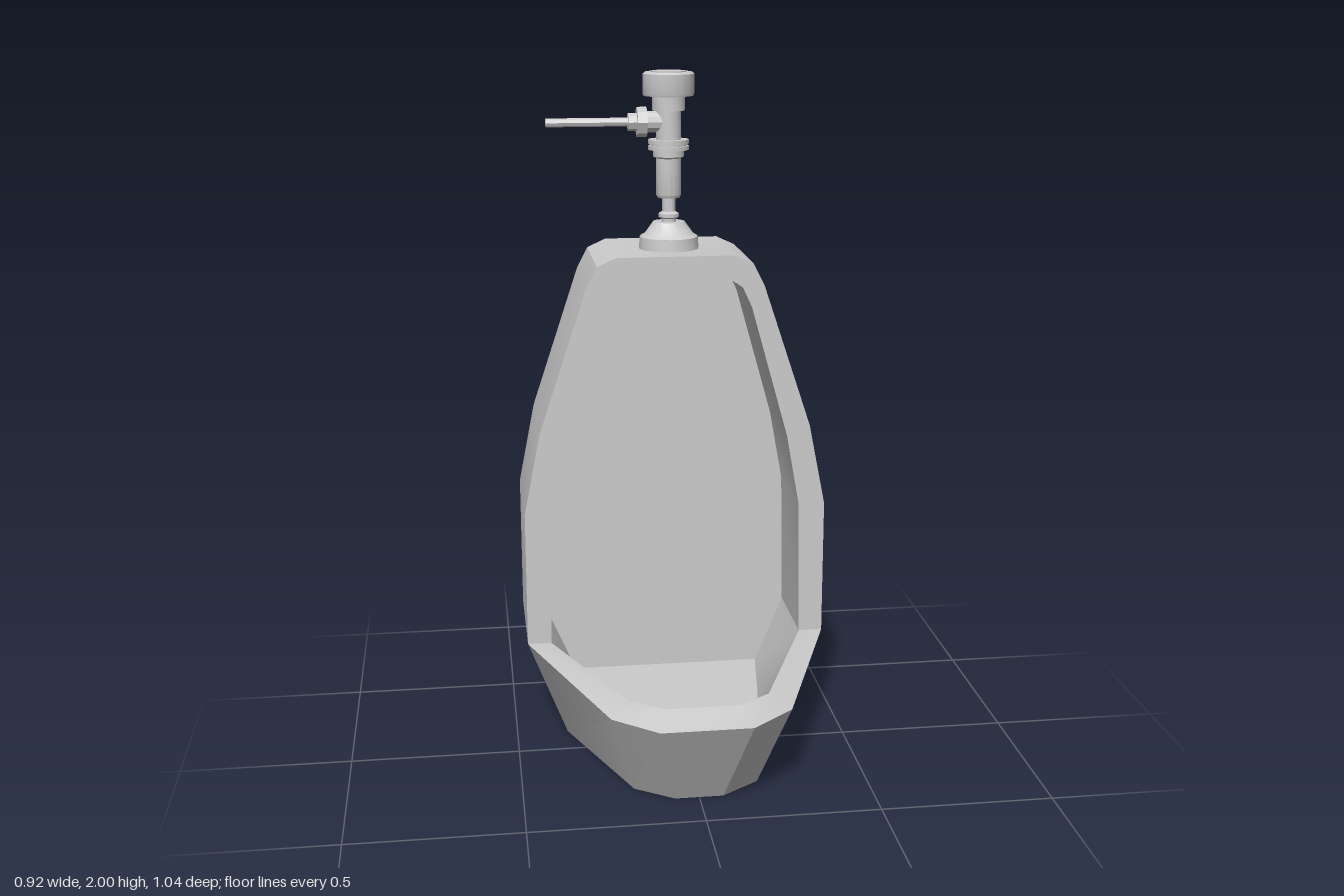
import * as THREE from 'three';
import { mergeGeometries, toCreasedNormals } from 'three/addons/utils/BufferGeometryUtils.js';

const grey = new THREE.MeshStandardMaterial({ color: 0xcccccc });

// Mirror the +x half of an outline to get the whole loop.
const mirror = half => [...half, ...half.map(([x, y, z]) => [-x, y, z]).reverse()];

function fromTriangles(tris) {
  const g = new THREE.BufferGeometry();
  g.setAttribute('position', new THREE.Float32BufferAttribute(tris.flat(2), 3));
  return g;
}

// Band of quads between two matching loops.
function strip(a, b, closed = false) {
  const tris = [];
  const n = a.length;
  for (let i = 0; i < (closed ? n : n - 1); i++) {
    const j = (i + 1) % n;
    tris.push([a[i], a[j], b[j]], [a[i], b[j], b[i]]);
  }
  return fromTriangles(tris);
}

// Flat cap over a convex loop.
function cap(loop) {
  const tris = [];
  for (let i = 1; i < loop.length - 1; i++) tris.push([loop[0], loop[i], loop[i + 1]]);
  return fromTriangles(tris);
}

function addMesh(parent, name, geometry) {
  const mesh = new THREE.Mesh(geometry, grey);
  mesh.name = name;
  parent.add(mesh);
  return mesh;
}

const smooth = parts => {
  const g = mergeGeometries(parts);
  g.computeVertexNormals();
  return toCreasedNormals(g, 0.45);
};

export function createModel() {
  const model = new THREE.Group();
  model.name = 'urinal';

  const front = -0.155, back = -0.52, recess = -0.44;
  const arch = (pts, z) => mirror(pts.map(([x, y]) => [x, y, z]));

  // Upright back with its arched recess
  const outer = [[0.46, 0.283], [0.46, 0.7], [0.41, 0.95], [0.265, 1.385], [0.232, 1.45], [0.175, 1.476]];
  const inner = [[0.388, 0.283], [0.38, 0.7], [0.34, 0.92], [0.228, 1.32], [0.2, 1.38], [0.17, 1.4]];
  const outerFront = arch(outer, front), outerBack = arch(outer, back);
  const innerFront = arch(inner, front), innerBack = arch(inner, recess);
  addMesh(model, 'backShell', smooth([
    strip(outerBack, outerFront),
    strip(outerFront, innerFront),
    strip(innerFront, innerBack),
    cap(innerBack),
    cap([...outerBack].reverse()),
  ]));

  // Tapered base, rim and basin
  const lip = mirror([[0.46, 0.283, back], [0.46, 0.283, front], [0.255, 0.283, 0.415], [0.13, 0.283, 0.52]]);
  const foot = mirror([[0.345, 0, -0.413], [0.345, 0, -0.12], [0.18, 0, 0.285], [0.07, 0, 0.36]]);
  const rim = mirror([[0.388, 0.283, recess], [0.388, 0.283, front], [0.2, 0.306, 0.35], [0.105, 0.312, 0.43]]);
  const floor = mirror([[0.3, 0.07, recess], [0.26, 0.07, front], [0.18, 0.07, 0.295], [0.075, 0.07, 0.375]]);
  addMesh(model, 'base', smooth([strip(lip, foot, true), cap(foot)]));
  addMesh(model, 'rim', smooth([strip(rim.slice(1, -1), lip.slice(1, -1))]));
  addMesh(model, 'basin', smooth([strip(floor, rim, true), cap([...floor].reverse())]));

  // Flush valve
  const valve = new THREE.Group();
  valve.name = 'flushValve';
  valve.position.z = -0.322;
  model.add(valve);
  const turned = (name, pts) => {
    const g = new THREE.LatheGeometry(pts.map(p => new THREE.Vector2(...p)), 16);
    addMesh(valve, name, toCreasedNormals(g, 0.5));
  };
  turned('flange', [[0, 1.474], [0.091, 1.474], [0.088, 1.512], [0.074, 1.52], [0.048, 1.556], [0, 1.556]]);
  turned('stem', [[0.022, 1.55], [0.022, 1.565], [0.031, 1.57], [0.031, 1.58], [0.02, 1.587], [0.02, 1.63]]);
  turned('valveBody', [[0, 1.628], [0.034, 1.628], [0.038, 1.636], [0.038, 1.745], [0.046, 1.75], [0.046, 1.77], [0.061, 1.77],
    [0.061, 1.782], [0.054, 1.782], [0.054, 1.788], [0.061, 1.788], [0.061, 1.8], [0.038, 1.8], [0.038, 1.885],
    [0.049, 1.885], [0.049, 1.932]]);
  turned('valveCap', [[0.049, 1.928], [0.075, 1.928], [0.077, 1.934], [0.077, 1.992], [0.07, 1.997], [0.052, 1.997], [0.052, 2], [0, 2]]);

  // Lever with its nuts, pointing to the right side
  const lever = new THREE.Group();
  lever.name = 'lever';
  lever.position.y = 1.852;
  valve.add(lever);
  const rod = (name, x0, x1, r, sides) => {
    const g = new THREE.CylinderGeometry(r, r, x1 - x0, sides).rotateZ(Math.PI / 2);
    addMesh(lever, name, toCreasedNormals(g, 0.5)).position.x = (x0 + x1) / 2;
  };
  rod('leverSocket', -0.07, -0.02, 0.031, 12);
  rod('largeNut', -0.095, -0.066, 0.044, 8);
  rod('smallNut', -0.121, -0.095, 0.026, 8);
  rod('leverHandle', -0.364, -0.12, 0.013, 8);

  return model;
}
